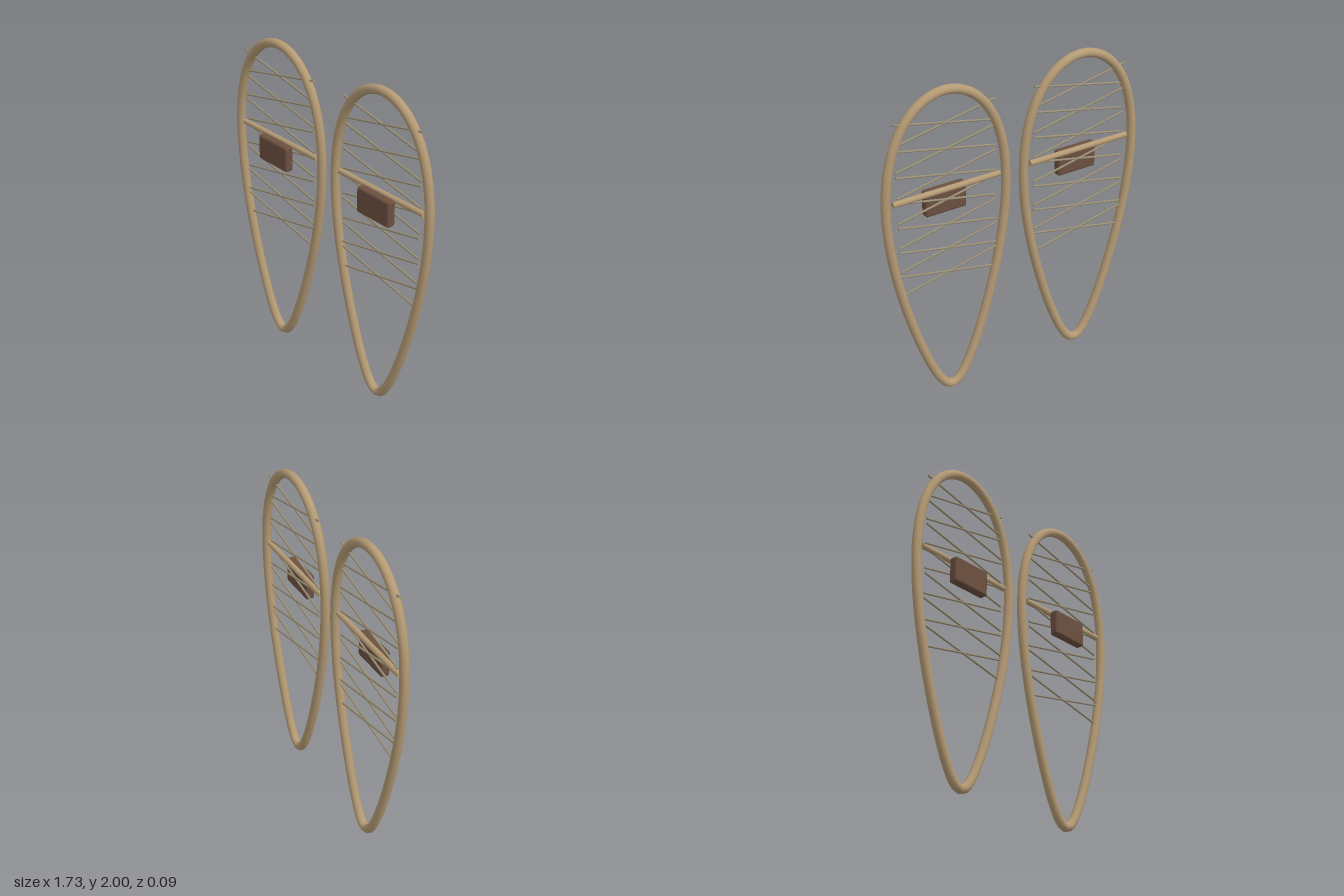
import * as THREE from 'three';
import { RoundedBoxGeometry } from 'three/addons/geometries/RoundedBoxGeometry.js';

const material = (color) => new THREE.MeshStandardMaterial({ color });
const WOOD = material(0xb49a74);
const LACE = material(0x9a8f76);
const LEATHER = material(0x6b5040);

const FRAME_Z = -0.0185;
const TUBE = 0.0275;

// Teardrop outline: an ellipse that is wider towards the top
class TeardropCurve extends THREE.Curve {
  getPoint(t, target = new THREE.Vector3()) {
    const a = t * Math.PI * 2;
    const x = 0.361 * Math.sin(a) * (1 + 0.42 * Math.cos(a));
    return target.set(x, 1 + (1 - TUBE) * Math.cos(a), 0);
  }
}

function addMesh(parent, name, geometry, mat, x = 0, y = 0, z = 0) {
  const mesh = new THREE.Mesh(geometry, mat);
  mesh.name = name;
  mesh.position.set(x, y, z);
  parent.add(mesh);
  return mesh;
}

// Straight round rod between two points
function addRod(parent, name, from, to, radius, sides, mat) {
  const dir = to.clone().sub(from);
  const geometry = new THREE.CylinderGeometry(radius, radius, dir.length(), sides);
  const rod = addMesh(parent, name, geometry, mat);
  rod.position.copy(from).add(to).multiplyScalar(0.5);
  rod.quaternion.setFromUnitVectors(new THREE.Vector3(0, 1, 0), dir.normalize());
}

function createSnowshoe(name) {
  const shoe = new THREE.Group();
  shoe.name = name;

  // Bent wooden rim
  const rim = new THREE.TubeGeometry(new TeardropCurve(), 128, TUBE, 16, true);
  addMesh(shoe, 'frame', rim, WOOD, 0, 0, FRAME_Z);

  // Crossbar carrying the binding
  addRod(shoe, 'crossbar', new THREE.Vector3(-0.344, 1.37, FRAME_Z),
    new THREE.Vector3(0.344, 1.37, FRAME_Z), 0.0175, 16, WOOD);

  // Crossed lacing
  const lacing = new THREE.Group();
  lacing.name = 'lacing';
  shoe.add(lacing);
  for (let i = 0; i < 7; i++) {
    const high = 1.845 - i * 0.1585;
    for (const side of [-1, 1]) {
      addRod(lacing, 'lace', new THREE.Vector3(side * 0.317, high, FRAME_Z),
        new THREE.Vector3(-side * 0.317, high - 0.129, FRAME_Z), 0.0065, 8, LACE);
    }
  }

  // Leather binding pad
  addMesh(shoe, 'binding', new RoundedBoxGeometry(0.265, 0.16, 0.056, 3, 0.014), LEATHER, 0, 1.295, 0.018);
  return shoe;
}

export function createModel() {
  const model = new THREE.Group();
  model.name = 'snowshoes';
  for (const side of [-1, 1]) {
    const shoe = createSnowshoe(side > 0 ? 'leftSnowshoe' : 'rightSnowshoe');
    shoe.position.x = side * 0.448;
    model.add(shoe);
  }
  return model;
}
